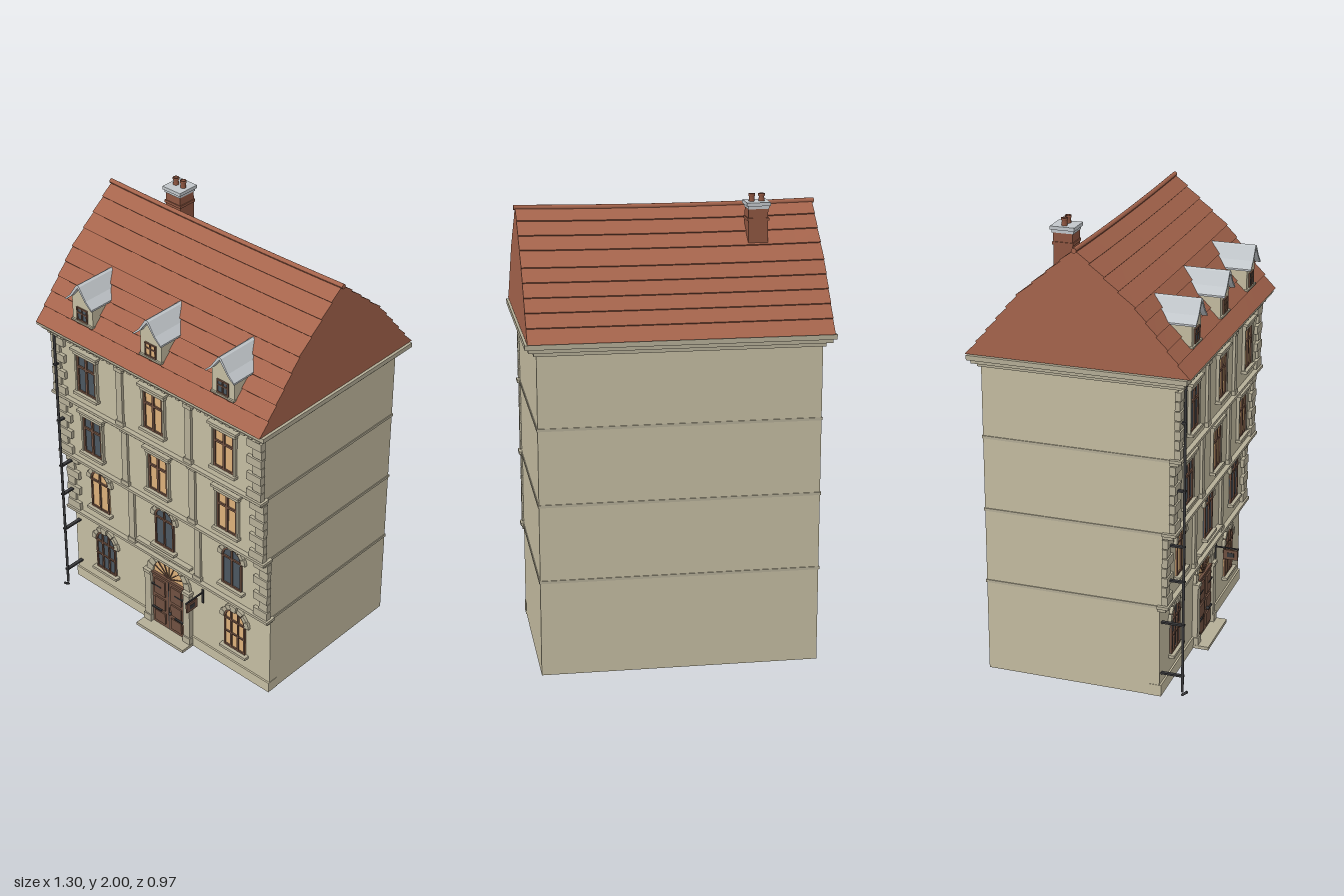
import * as THREE from 'three';

const mat = (name, color) => {
  const m = new THREE.MeshStandardMaterial({ color });
  m.name = name;
  return m;
};

export function createModel() {
  const plaster = mat('plaster', 0xc4bca1), stone = mat('stone', 0xb5ae97), tile = mat('roof tile', 0xa5644c),
    brick = mat('brick', 0x8f5641), zinc = mat('zinc', 0xc2c7cb), lit = mat('lit glass', 0xdcb07a),
    dark = mat('dark glass', 0x4b5660), wood = mat('wood', 0x6f5040), iron = mat('iron', 0x38383a);
  const model = new THREE.Group();
  model.name = 'townHouse';

  const group = (name, parent = model) => {
    const g = new THREE.Group();
    g.name = name;
    parent.add(g);
    return g;
  };
  const add = (parent, name, geo, m) => {
    const mesh = new THREE.Mesh(geo, m);
    mesh.name = name;
    parent.add(mesh);
    return mesh;
  };
  // box given by its limits on each axis
  const box = (parent, name, m, x0, x1, y0, y1, z0, z1) =>
    add(parent, name, new THREE.BoxGeometry(x1 - x0, y1 - y0, z1 - z0)
      .translate((x0 + x1) / 2, (y0 + y1) / 2, (z0 + z1) / 2), m);
  const slab = (parent, name, m, shape, z0, z1) =>
    add(parent, name, new THREE.ExtrudeGeometry(shape, { depth: z1 - z0, bevelEnabled: false, curveSegments: 12 })
      .translate(0, 0, z0), m);
  const polygon = pts => new THREE.Shape(pts.map(p => new THREE.Vector2(p[0], p[1])));
  // round-headed opening: half width r, from y0 up to the springing line
  const archPath = (r, y0, spring, Type = THREE.Shape) => {
    const s = new Type();
    s.moveTo(-r, y0);
    s.lineTo(r, y0);
    s.lineTo(r, spring);
    s.absarc(0, spring, r, 0, Math.PI, false);
    s.lineTo(-r, y0);
    return s;
  };
  // ring of wedge stones with a taller keystone
  const voussoirs = (parent, r0, r1, spring, z, n) => {
    for (let i = 0; i < n; i++) {
      const a0 = Math.PI * (i + 0.04) / n, a1 = Math.PI * (i + 0.96) / n, key = i === (n - 1) / 2;
      const R = r1 + (key ? 0.008 : i % 2 ? -0.005 : 0), s = new THREE.Shape();
      s.absarc(0, spring, R, a0, a1, false);
      s.absarc(0, spring, r0, a1, a0, true);
      slab(parent, key ? 'keystone' : 'archStone', stone, s, z, z + (key ? 0.026 : 0.018));
    }
  };

  // Storeys, each jutting a little further forward
  const floors = [[0, 0.42, 0.35], [0.42, 0.755, 0.37], [0.755, 1.085, 0.40], [1.085, 1.41, 0.42]];
  const walls = group('walls');
  floors.forEach(([y0, y1, z], i) => {
    box(walls, 'storey', plaster, -0.6, 0.6, y0, y1, -0.43, z);
    if (i === 3) return;
    const zn = floors[i + 1][2];
    box(walls, 'stringCourse', stone, -0.604, 0.604, y1 - 0.006, y1 + 0.006, -0.434, zn);
    box(walls, 'frontBandLower', stone, -0.607, 0.607, y1 - 0.018, y1 - 0.003, z - 0.01, zn + 0.008);
    box(walls, 'frontBandUpper', stone, -0.615, 0.615, y1 - 0.003, y1 + 0.01, z - 0.01, zn + 0.022);
  });
  box(walls, 'plinth', plaster, -0.602, 0.602, 0, 0.052, 0.3, 0.358);

  // Corner stones and pilasters on the upper storeys
  floors.slice(1).forEach(([y0, y1, z]) => {
    const bottom = y0 + 0.012, top = y1 - 0.02, n = 7, h = (top - bottom) / n;
    for (const s of [-1, 1]) {
      const quoins = group('cornerStones');
      for (let i = 0; i < n; i++) {
        const inner = i % 2 ? 0.56 : 0.53;
        box(quoins, 'cornerStone', stone, Math.min(s * inner, s * 0.608), Math.max(s * inner, s * 0.608),
          bottom + i * h + 0.002, bottom + (i + 1) * h - 0.002, z - 0.01, z + (i % 2 ? 0.012 : 0.016));
      }
      const p = group('pilaster');
      p.position.x = s * 0.2;
      box(p, 'pilasterShaft', stone, -0.017, 0.017, bottom, top, z - 0.01, z + 0.012);
      box(p, 'pilasterBase', stone, -0.023, 0.023, bottom, bottom + 0.02, z - 0.01, z + 0.016);
      box(p, 'pilasterCap', stone, -0.023, 0.023, top - 0.018, top, z - 0.01, z + 0.016);
    }
  });

  // Square-headed window with lintel, sill and cross bars
  const squareWindow = (x, y0, z, glass) => {
    const g = group('squareWindow');
    g.position.set(x, y0, z);
    box(g, 'glass', glass, -0.052, 0.052, 0, 0.19, -0.005, 0.004);
    for (const s of [-1, 1]) {
      box(g, 'frameSide', wood, s * 0.051 - 0.005, s * 0.051 + 0.005, 0, 0.19, 0, 0.01);
      box(g, 'surroundSide', stone, s * 0.061 - 0.005, s * 0.061 + 0.005, 0, 0.195, -0.005, 0.014);
    }
    box(g, 'frameTop', wood, -0.05, 0.05, 0.182, 0.19, 0, 0.01);
    box(g, 'frameBottom', wood, -0.05, 0.05, 0, 0.008, 0, 0.01);
    box(g, 'mullion', wood, -0.006, 0.006, 0, 0.19, 0, 0.011);
    box(g, 'transom', wood, -0.05, 0.05, 0.125, 0.135, 0, 0.011);
    box(g, 'sill', stone, -0.072, 0.072, -0.013, 0, -0.005, 0.026);
    box(g, 'lintel', stone, -0.07, 0.07, 0.19, 0.21, -0.005, 0.018);
    box(g, 'lintelCap', stone, -0.079, 0.079, 0.21, 0.222, -0.005, 0.027);
  };
  // Round-headed window with wedge stones
  const archWindow = (x, y0, z, r, h, glass, bars) => {
    const g = group('archWindow');
    g.position.set(x, y0, z);
    const spring = h - r;
    slab(g, 'glass', glass, archPath(r, 0, spring), -0.005, 0.004);
    const frame = archPath(r, 0, spring);
    frame.holes.push(archPath(r - 0.008, 0.008, spring, THREE.Path));
    slab(g, 'frame', wood, frame, 0, 0.01);
    for (const b of bars) box(g, 'verticalBar', wood, b - 0.004, b + 0.004, 0, spring + r * 0.85, 0, 0.011);
    box(g, 'transom', wood, -r, r, spring - 0.006, spring + 0.002, 0, 0.011);
    if (bars.length > 1) box(g, 'lowerBar', wood, -r, r, spring * 0.5, spring * 0.5 + 0.006, 0, 0.011);
    voussoirs(g, r, r + 0.024, spring, -0.004, 7);
    box(g, 'sill', stone, -r - 0.016, r + 0.016, -0.013, 0, -0.005, 0.026);
  };
  [-0.4, 0, 0.4].forEach((x, i) => {
    squareWindow(x, 1.158, 0.42, i ? lit : dark);
    squareWindow(x, 0.825, 0.40, i ? lit : dark);
    archWindow(x, 0.503, 0.37, 0.056, 0.21, i ? dark : lit, [0]);
    if (i !== 1) archWindow(x, 0.132, 0.35, 0.061, 0.222, i ? lit : dark, [-0.02, 0.02]);
  });
  box(model, 'ledge', stone, -0.165, 0.165, 0.463, 0.476, 0.36, 0.395);

  // Entrance: double door, fanlight, arch and step
  const door = group('entrance');
  door.position.set(0.003, 0, 0.35);
  box(door, 'step', stone, -0.145, 0.145, 0, 0.015, -0.02, 0.078);
  for (const s of [-1, 1]) {
    box(door, 'doorLeaf', wood, s * 0.05 - 0.0485, s * 0.05 + 0.0485, 0.015, 0.3, -0.005, 0.012);
    for (const [y0, y1] of [[0.035, 0.095], [0.115, 0.175], [0.195, 0.28]])
      box(door, 'doorPanel', wood, s * 0.05 - 0.032, s * 0.05 + 0.032, y0, y1, 0.01, 0.019);
    for (const y of [0.105, 0.24])
      box(door, 'hinge', iron, s * 0.07 - 0.028, s * 0.07 + 0.028, y - 0.003, y + 0.003, 0.012, 0.021);
    box(door, 'jamb', stone, s * 0.119 - 0.019, s * 0.119 + 0.019, 0.015, 0.305, -0.005, 0.024);
    box(door, 'jambBase', stone, s * 0.121 - 0.022, s * 0.121 + 0.022, 0.015, 0.05, -0.005, 0.03);
    box(door, 'jambCap', stone, s * 0.121 - 0.022, s * 0.121 + 0.022, 0.293, 0.31, -0.005, 0.03);
  }
  box(door, 'doorGap', iron, -0.002, 0.002, 0.015, 0.3, 0.005, 0.013);
  add(door, 'doorKnob', new THREE.SphereGeometry(0.008, 12, 8).translate(0.018, 0.125, 0.024), iron);
  box(door, 'doorTransom', wood, -0.1, 0.1, 0.298, 0.31, -0.005, 0.018);
  slab(door, 'fanlight', lit, archPath(0.098, 0.305, 0.307), -0.005, 0.005);
  for (let i = 1; i < 8; i++)
    add(door, 'fanlightBar', new THREE.BoxGeometry(0.09, 0.004, 0.006).translate(0.05, 0, 0)
      .rotateZ(Math.PI * i / 8).translate(0, 0.307, 0.006), wood);
  voussoirs(door, 0.095, 0.132, 0.307, -0.004, 9);

  // Hanging sign beside the door
  const sign = group('hangingSign');
  sign.position.x = 0.205;
  box(sign, 'signPlate', wood, -0.004, 0.004, 0.29, 0.337, 0.39, 0.458);
  box(sign, 'signArm', iron, -0.003, 0.003, 0.342, 0.348, 0.35, 0.463);
  box(sign, 'signWallPlate', iron, -0.005, 0.005, 0.285, 0.36, 0.345, 0.356);
  for (const s of [-1, 1])
    box(sign, 'signEmblem', iron, s * 0.0045 - 0.001, s * 0.0045 + 0.001, 0.303, 0.324, 0.408, 0.44);

  // Rain pipe with wall brackets and spout
  const pipe = group('rainPipe');
  pipe.position.set(-0.575, 0, 0.445);
  add(pipe, 'downPipe', new THREE.CylinderGeometry(0.006, 0.006, 1.4, 10).translate(0, 0.725, 0), iron);
  add(pipe, 'spout', new THREE.CylinderGeometry(0.006, 0.006, 0.03, 10).rotateX(0.9).translate(0, 0.018, 0.01), iron);
  [[0.1, 0.35], [0.34, 0.35], [0.54, 0.37], [0.7, 0.37], [0.95, 0.4], [1.25, 0.42]].forEach(([y, z]) =>
    box(pipe, 'pipeBracket', iron, -0.008, 0.008, y - 0.004, y + 0.004, z - 0.445, 0.007));

  // Stepped cornice with a row of small blocks
  const cornice = group('cornice');
  box(cornice, 'corniceLower', stone, -0.612, 0.612, 1.4, 1.418, -0.442, 0.436);
  box(cornice, 'corniceMiddle', stone, -0.635, 0.635, 1.418, 1.435, -0.462, 0.458);
  box(cornice, 'corniceUpper', stone, -0.65, 0.65, 1.435, 1.456, -0.475, 0.472);
  for (let i = 0; i < 31; i++) {
    const x = -0.6 + i * 0.04;
    box(cornice, 'corniceBlock', stone, x - 0.01, x + 0.01, 1.403, 1.418, 0.43, 0.45);
  }

  // Main roof: stepped tile courses with a slightly sagging ridge
  const slopeY = z => z < 0.25 ? 1.937 - 0.848 * z : 1.725 - (z - 0.25) * 1.18;
  const courses = [0.48, 0.43, 0.385, 0.34, 0.295, 0.25, 0.18, 0.12, 0.06, 0];
  const side = [];
  for (let i = 0; i < courses.length - 1; i++) {
    const z = courses[i], z1 = courses[i + 1];
    side.push([z + 0.005, slopeY(z) + 0.005], [z1, slopeY(z1)]);
  }
  const outline = [...side, ...side.slice(0, -1).reverse().map(([z, y]) => [-z, y])];
  const sag = geo => {
    const p = geo.attributes.position;
    for (let i = 0; i < p.count; i++)
      if (p.getY(i) > 1.47) p.setY(i, p.getY(i) + 0.008 * (p.getX(i) / 0.64) ** 2 * (p.getY(i) - 1.47) / 0.47);
    geo.computeVertexNormals();
    return geo;
  };
  const roof = group('roof');
  add(roof, 'tiledRoof', sag(new THREE.ExtrudeGeometry(polygon(outline), { depth: 1.28, steps: 12, bevelEnabled: false })
    .rotateY(Math.PI / 2).translate(-0.64, 0, 0)), tile);
  add(roof, 'ridgeCap', sag(new THREE.CylinderGeometry(0.011, 0.011, 1.295, 10, 12)
    .rotateZ(Math.PI / 2).translate(0, 1.936, 0)), tile);

  // Dormers with flared metal roofs
  [-0.4, 0, 0.4].forEach((x, i) => {
    const d = group('dormer');
    d.position.x = x;
    slab(d, 'dormerBody', plaster, polygon([[-0.06, 1.53], [0.06, 1.53], [0.06, 1.638], [0.04, 1.66], [0, 1.713],
      [-0.04, 1.66], [-0.06, 1.638]]), 0.26, 0.432);
    const top = [[0.078, 1.632], [0.046, 1.663], [0.01, 1.718], [0, 1.724]];
    const right = [[0.078, 1.624], [0.042, 1.654], [0, 1.71]];
    const mirror = a => a.map(([px, py]) => [-px, py]);
    slab(d, 'dormerRoof', zinc, polygon([...top, ...mirror(top.slice(0, 3)).reverse(),
      ...mirror(right.slice(0, 2)), ...right.slice().reverse()]), 0.24, 0.455);
    box(d, 'dormerGlass', i === 1 ? lit : dark, -0.028, 0.028, 1.54, 1.597, 0.428, 0.435);
    for (const s of [-1, 0, 1]) box(d, 'dormerBar', wood, s * 0.028 - 0.003, s * 0.028 + 0.003, 1.537, 1.6, 0.43, 0.439);
    for (const y of [1.54, 1.575, 1.597]) box(d, 'dormerCrossBar', wood, -0.03, 0.03, y - 0.003, y + 0.003, 0.43, 0.438);
    box(d, 'dormerSill', stone, -0.062, 0.062, 1.526, 1.534, 0.41, 0.44);
  });

  // Chimney with cap and two pots
  const chimney = group('chimney');
  chimney.position.set(-0.37, 0, -0.135);
  box(chimney, 'chimneyStack', brick, -0.042, 0.042, 1.7, 1.95, -0.042, 0.042);
  box(chimney, 'chimneyBand', brick, -0.046, 0.046, 1.89, 1.902, -0.046, 0.046);
  box(chimney, 'chimneyCapLower', zinc, -0.045, 0.045, 1.94, 1.953, -0.047, 0.047);
  box(chimney, 'chimneyCap', zinc, -0.051, 0.051, 1.953, 1.968, -0.053, 0.053);
  const pot = [[0, 1.985], [0.009, 1.985], [0.009, 2], [0.014, 2], [0.014, 1.99], [0.011, 1.988], [0.013, 1.965]]
    .reverse().map(([r, y]) => new THREE.Vector2(r, y));
  for (const s of [-1, 1]) add(chimney, 'chimneyPot', new THREE.LatheGeometry(pot, 14).translate(s * 0.021, 0, 0), brick);

  return model;
}
